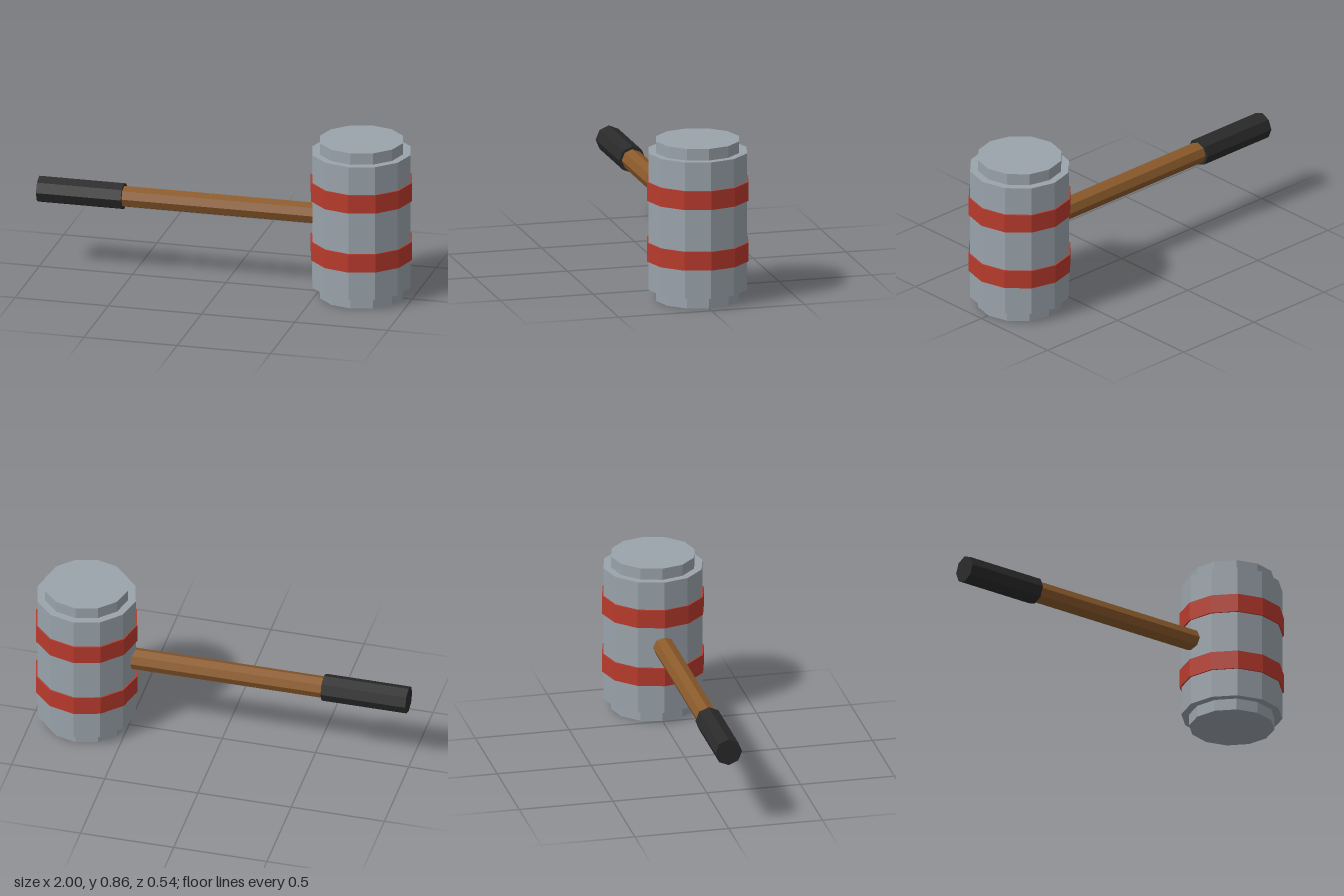
import * as THREE from 'three';

const HEAD_X = 0.728;
const MID_Y = 0.4275;

export function createModel() {
  const group = new THREE.Group();
  const paint = (color) => new THREE.MeshStandardMaterial({ color, flatShading: true });
  const steel = paint(0x9aa3ab);
  const red = paint(0xb83a2c);
  const wood = paint(0x8b5a2b);
  const rubber = paint(0x2a2a2a);

  // Upright twelve-sided drum from y0 to y1 on the head's axis
  const drum = (name, radius, y0, y1, material) => {
    const mesh = new THREE.Mesh(new THREE.CylinderGeometry(radius, radius, y1 - y0, 12), material);
    mesh.name = name;
    mesh.position.set(HEAD_X, (y0 + y1) / 2, 0);
    group.add(mesh);
  };

  // Eight-sided rod along x from x0 to x1
  const rod = (name, radius, x0, x1, material) => {
    const mesh = new THREE.Mesh(new THREE.CylinderGeometry(radius, radius, x1 - x0, 8), material);
    mesh.name = name;
    mesh.rotation.z = Math.PI / 2;
    mesh.position.set((x0 + x1) / 2, MID_Y, 0);
    group.add(mesh);
  };

  // Head with a smaller striking face at each end
  drum('head', 0.264, 0.062, 0.793, steel);
  drum('lowerFace', 0.223, 0, 0.062, steel);
  drum('upperFace', 0.223, 0.793, 0.855, steel);

  // Bands around the head
  drum('lowerBand', 0.272, 0.215, 0.315, red);
  drum('upperBand', 0.272, 0.54, 0.64, red);

  // Handle and grip
  rod('handle', 0.057, -0.6, 0.6, wood);
  rod('grip', 0.0715, -1, -0.545, rubber);

  return group;
}
